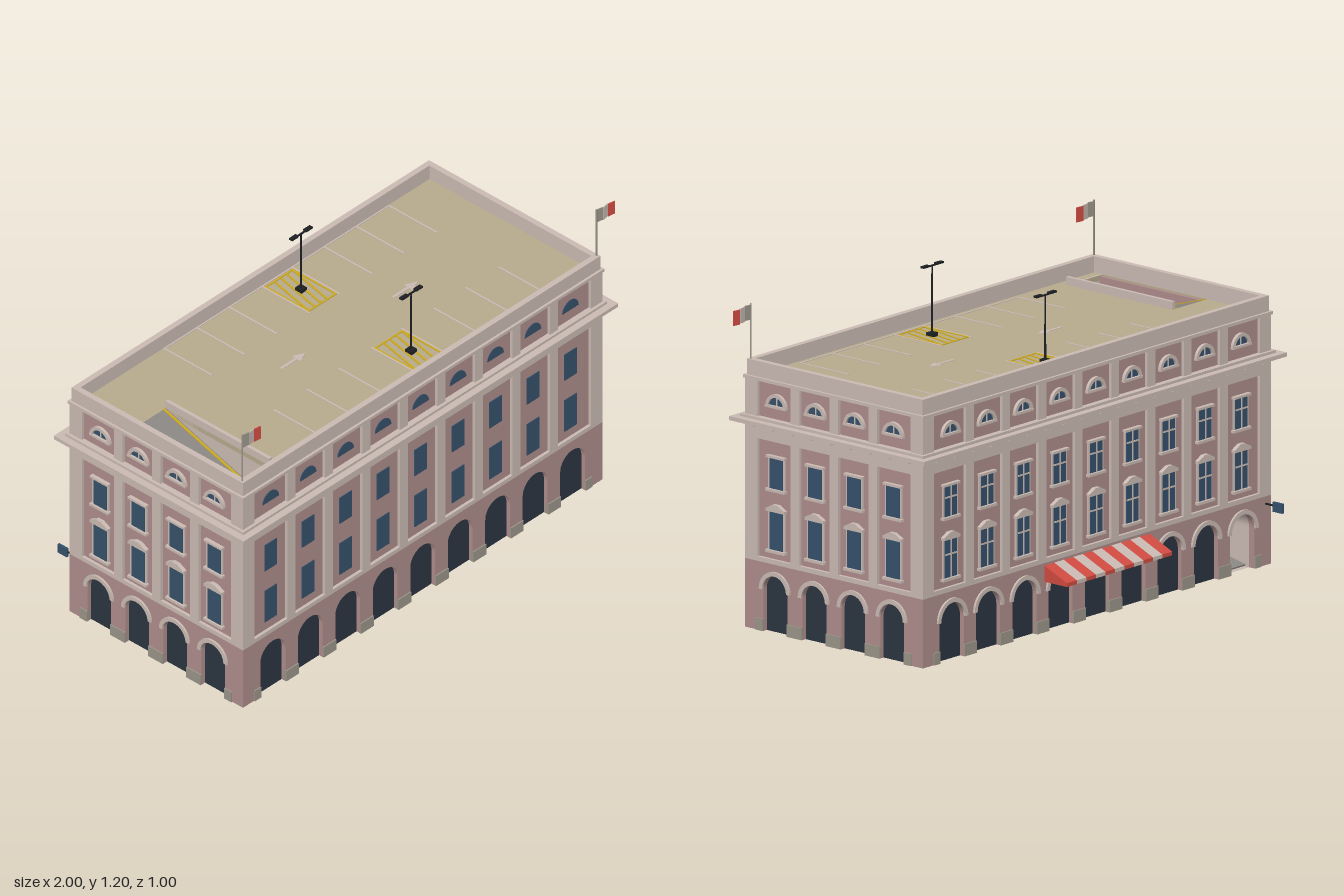
import * as THREE from 'three';

const mat = (name, color) => new THREE.MeshStandardMaterial({ name, color });
const pink = mat('pink stucco', 0xad8c8b), cream = mat('cream stone', 0xc9bab2);
const glass = mat('window blue', 0x34506a), dark = mat('arch shade', 0x2b3440);
const grey = mat('plinth grey', 0x9a9488), tan = mat('deck tan', 0xb6a98c);
const asphalt = mat('ramp grey', 0x8a8683), yellow = mat('marking yellow', 0xc9a820);
const red = mat('awning red', 0xcf4a40), black = mat('lamp black', 0x1c1f22);
dark.side = THREE.DoubleSide;

const HX = 0.94, HZ = 0.425, DECK = 0.935;   // half sizes of the building, roof level

function add(parent, name, geo, m, x = 0, y = 0, z = 0) {
  const mesh = new THREE.Mesh(geo, m);
  mesh.name = name;
  mesh.position.set(x, y, z);
  parent.add(mesh);
  return mesh;
}
// box given by its centre and size
const box = (p, name, m, x, y, z, w, h, d) => add(p, name, new THREE.BoxGeometry(w, h, d), m, x, y, z);
const extrude = (shape, depth) => new THREE.ExtrudeGeometry(shape, { depth, bevelEnabled: false, curveSegments: 10 });
const poly = pts => new THREE.Shape(pts.map(p => new THREE.Vector2(...p)));
const rect = (x0, x1, y0, y1) => poly([[x0, y0], [x1, y0], [x1, y1], [x0, y1]]);

// rectangular hoop round the building, from y0 up to y1
function ring(p, name, m, hx, hz, t, y0, y1) {
  const s = rect(-hx, hx, -hz, hz);
  s.holes.push(rect(-hx + t, hx - t, -hz + t, hz - t));
  add(p, name, extrude(s, y1 - y0).rotateX(Math.PI / 2), m, 0, y1, 0);
}
function archShape(r, spring) {
  const s = new THREE.Shape();
  s.moveTo(r, 0);
  s.lineTo(r, spring);
  s.absarc(0, spring, r, 0, Math.PI, false);
  s.lineTo(-r, 0);
  return s;
}
function halfRing(ro, ri) {
  const s = new THREE.Shape();
  s.absarc(0, 0, ro, 0, Math.PI, false);
  s.absarc(0, 0, ri, Math.PI, 0, true);
  return s;
}
function halfDisc(r) {
  const s = new THREE.Shape();
  s.absarc(0, 0, r, 0, Math.PI, false);
  return s;
}

// one facade: local x runs along the wall, local z points outward
function facade(root, { name, angle, dist, half, n, pitch, r, spring, fancy, mullions, entry, inset }) {
  const g = new THREE.Group();
  g.name = name;
  g.rotation.y = angle;
  root.add(g);
  const bays = Array.from({ length: n }, (_, i) => (i - (n - 1) / 2) * pitch);
  const wallZ = dist - 0.012;                 // face of the upper wall

  // arcaded ground floor
  const L = half - inset, s = new THREE.Shape();
  s.moveTo(-L, 0);
  for (const c of bays) {
    s.lineTo(c - r, 0);
    s.lineTo(c - r, spring);
    s.absarc(c, spring, r, Math.PI, 0, true);
    s.lineTo(c + r, 0);
  }
  s.lineTo(L, 0); s.lineTo(L, 0.255); s.lineTo(-L, 0.255);
  add(g, 'arcade wall', extrude(s, 0.03), pink, 0, 0, dist - 0.03);

  bays.forEach((c, i) => {
    if (i !== entry) add(g, 'arch infill', new THREE.ShapeGeometry(archShape(r, spring), 10), dark, c, 0, dist - 0.018);
    // windows, passing through the wall
    const out = fancy ? 0.009 : 0.003;
    for (const [y0, y1] of [[0.308, 0.447], [0.535, 0.65]]) {
      const h = y1 - y0, y = (y0 + y1) / 2, d = 0.032 + out;
      box(g, 'window glass', glass, c, y, wallZ + out - d / 2, 0.064, h, d);
      if (fancy) {
        box(g, 'window frame', cream, c, y, wallZ + 0.003, 0.08, h + 0.008, 0.007);
        box(g, 'window sill', cream, c, y0 - 0.006, wallZ + 0.008, 0.092, 0.01, 0.016);
      }
      if (mullions) {
        box(g, 'mullion', cream, c, y, wallZ + 0.009, 0.006, h, 0.004);
        box(g, 'transom', cream, c, y0 + h * 0.62, wallZ + 0.009, 0.064, 0.006, 0.004);
      }
    }
    // attic lunette
    if (fancy) {
      add(g, 'lunette surround', extrude(halfRing(0.049, 0.036), 0.012), cream, c, 0.838, wallZ);
      box(g, 'lunette sill', cream, c, 0.839, wallZ + 0.007, 0.1, 0.009, 0.014);
      add(g, 'lunette glass', extrude(halfDisc(0.037), 0.036), glass, c, 0.841, wallZ - 0.032);
      box(g, 'lunette mullion', cream, c, 0.858, wallZ + 0.004, 0.005, 0.036, 0.005);
      // window heads and arch mouldings
      const head = poly([[-0.044, 0], [0.044, 0], [0.044, 0.01], [0.012, 0.027], [-0.012, 0.027], [-0.044, 0.01]]);
      add(g, 'window pediment', extrude(head, 0.016), cream, c, 0.45, wallZ);
      box(g, 'window head', cream, c, 0.653, wallZ + 0.008, 0.088, 0.009, 0.016);
      add(g, 'archivolt', extrude(halfRing(r + 0.016, r), 0.01), cream, c, spring, dist - 0.002);
    } else {
      add(g, 'lunette glass', extrude(halfDisc(0.042), 0.035), glass, c, 0.835, wallZ - 0.032);
    }
  });

  // pilasters and plinths between the bays
  for (let i = 0; i <= n; i++) {
    const c = (i - n / 2) * pitch, end = i === 0 || i === n;
    if (!end) {
      box(g, 'pilaster', cream, c, 0.49, dist - 0.01, 0.042, 0.46, 0.02);
      box(g, 'attic pilaster', cream, c, 0.86, dist - 0.01, 0.042, 0.14, 0.02);
    }
    const a = i === 0 ? c : c - pitch / 2 + r, b = i === n ? c : c + pitch / 2 - r;
    box(g, 'plinth', grey, (a + b) / 2, 0.0225, dist - 0.003, b - a, 0.045, 0.016);
  }
  // small brackets under the cornice
  for (let i = 0; i <= 2 * n; i++)
    box(g, 'cornice bracket', cream, (i / 2 - n / 2) * pitch, 0.762, dist + 0.012, 0.013, 0.014, 0.024);
  return g;
}

function lamp(p, x, z, top) {
  const g = new THREE.Group();
  g.name = 'roofLamp';
  g.position.set(x, 0, z);
  p.add(g);
  box(g, 'lamp base', black, 0, DECK + 0.007, 0, 0.03, 0.014, 0.03);
  add(g, 'lamp pole', new THREE.CylinderGeometry(0.003, 0.004, top - DECK, 8), black, 0, (top + DECK) / 2, 0);
  box(g, 'lamp arm', black, 0, top - 0.003, 0, 0.06, 0.005, 0.006);
  for (const k of [-1, 1]) box(g, 'lamp head', black, k * 0.037, top, 0, 0.034, 0.007, 0.016);
}

function flag(p, x, z, w) {
  const g = new THREE.Group();
  g.name = 'flag';
  g.position.set(x, 0, z);
  p.add(g);
  add(g, 'flag pole', new THREE.CylinderGeometry(0.003, 0.003, 0.22, 8), grey, 0, 1.09, 0);
  [grey, cream, red].forEach((m, i) => {
    const strip = box(g, 'flag strip', m, (i + 0.5) * w / 3, 1.168 - i * 0.003, 0, w / 3, 0.055, 0.004);
    strip.rotation.y = i === 1 ? 0.15 : -0.15;
  });
}

function arrow(p, x, y, z, turn, tilt = 0) {
  const s = poly([[-0.065, -0.006], [0.015, -0.006], [0.015, -0.022], [0.065, 0], [0.015, 0.022], [0.015, 0.006], [-0.065, 0.006]]);
  const a = add(p, 'lane arrow', extrude(s, 0.002).rotateX(-Math.PI / 2).rotateY(turn), cream, x, y, z);
  a.rotation.x = tilt;
}

export function createModel() {
  const model = new THREE.Group();
  model.name = 'parkingPalazzo';
  const b = new THREE.Group();
  b.name = 'building';
  b.position.set(-0.02, 0, 0.035);
  model.add(b);

  // facades
  const long = { dist: HZ, half: HX, n: 9, pitch: 0.196, r: 0.065, spring: 0.15, inset: 0 };
  const short = { dist: HX, half: HZ, n: 4, pitch: 0.186, r: 0.057, spring: 0.156, inset: 0.03, fancy: true };
  facade(b, { ...long, name: 'frontFacade', angle: 0 });
  const back = facade(b, { ...long, name: 'backFacade', angle: Math.PI, fancy: true, mullions: true, entry: 8 });
  facade(b, { ...short, name: 'leftFacade', angle: Math.PI / 2 });
  facade(b, { ...short, name: 'rightFacade', angle: -Math.PI / 2 });

  // upper walls, bands, cornice and parapet
  ring(b, 'upper wall', pink, HX - 0.012, HZ - 0.012, 0.03, 0.25, 0.93);
  ring(b, 'floor band', cream, HX, HZ, 0.02, 0.255, 0.272);
  ring(b, 'frieze', cream, HX, HZ, 0.02, 0.71, 0.77);
  ring(b, 'cornice', cream, HX + 0.04, HZ + 0.04, 0.06, 0.767, 0.782);
  ring(b, 'cornice fillet', cream, HX + 0.012, HZ + 0.012, 0.03, 0.782, 0.792);
  ring(b, 'parapet ledge', cream, HX + 0.005, HZ + 0.005, 0.033, 0.925, 0.937);
  ring(b, 'parapet', cream, HX - 0.005, HZ - 0.005, 0.023, 0.93, 0.995);
  for (const sx of [-1, 1]) for (const sz of [-1, 1])
    box(b, 'corner pier', cream, sx * (HX - 0.03), 0.592, sz * (HZ - 0.03), 0.06, 0.675, 0.06);

  // arched passage with its ramp, behind the last arch of the back
  const u = 4 * long.pitch, tunnel = archShape(0.072, 0.15);
  tunnel.holes.push(archShape(0.0645, 0.1499));
  add(back, 'entry passage', extrude(tunnel, 0.3), cream, u, 0, HZ - 0.325);
  box(back, 'entry ramp', asphalt, u, 0.035, HZ - 0.19, 0.129, 0.006, 0.3).rotation.x = 0.2;

  // striped awning
  const n = 11, w = 0.564 / n;
  const prof = poly([[0, 0.246], [0.108, 0.2], [0.108, 0.186], [0.103, 0.186], [0.103, 0.196], [0, 0.239]]);
  const side = poly([[0, 0.246], [0.108, 0.2], [0.108, 0.186], [0, 0.186]]);
  for (let i = 0; i < n; i++)
    add(back, 'awning stripe', extrude(prof, w).rotateY(-Math.PI / 2), i % 2 ? cream : red, (i + 1 - n / 2) * w, 0, HZ);
  for (const k of [-1, 1])
    add(back, 'awning end', extrude(side, 0.004).rotateY(-Math.PI / 2), red, k * 0.282 + 0.002, 0, HZ);

  // projecting sign beside the entry
  box(back, 'sign bracket', black, 0.91, 0.228, HZ + 0.02, 0.005, 0.006, 0.04);
  box(back, 'sign board', glass, 0.91, 0.224, HZ + 0.06, 0.01, 0.036, 0.046);

  // roof deck with the opening for the ramp
  const roof = new THREE.Group();
  roof.name = 'roof';
  model.add(roof);
  const deck = rect(-0.935, 0.895, -0.365, 0.435);
  deck.holes.push(rect(-0.93, -0.755, -0.11, 0.39));
  add(roof, 'roof deck', extrude(deck, 0.02).rotateX(Math.PI / 2), tan, 0, DECK, 0);
  const tilt = 0.3, rampY = DECK - 0.25 * Math.tan(tilt);
  box(roof, 'ramp', asphalt, -0.842, rampY - 0.003, 0.14, 0.175, 0.006, 0.5 / Math.cos(tilt)).rotation.x = tilt;
  for (const x of [-0.918, -0.766])
    box(roof, 'ramp edge line', yellow, x, rampY + 0.001, 0.14, 0.01, 0.004, 0.5 / Math.cos(tilt)).rotation.x = tilt;
  arrow(roof, -0.842, rampY + 0.001, 0.1, Math.PI / 2, tilt);
  box(roof, 'ramp guard wall', cream, -0.748, 0.88, 0.142, 0.014, 0.17, 0.508);
  box(roof, 'ramp end wall', cream, -0.842, 0.855, 0.394, 0.19, 0.16, 0.008);

  // parking bays, hatched zones and lamps on both sides of the lane
  const line = (m, x, z, lx, lz, turn = 0) => {
    box(roof, 'deck marking', m, x, DECK + 0.001, z, lx, 0.003, lz).rotation.y = turn;
  };
  for (const [z0, z1, edge, lampZ, top] of [[-0.357, -0.122, -0.357, -0.24, 1.19], [0.18, 0.41, 0.41, 0.3, 1.2]]) {
    const zc = (z0 + z1) / 2, d = z1 - z0;
    for (const x of [-0.5, -0.33, -0.16, 0.011, 0.168, 0.336, 0.504, 0.675]) line(cream, x, zc, 0.007, d);
    line(cream, 0.0875, edge, 1.18, 0.006);
    for (const x of [0.018, 0.16]) line(yellow, x, zc, 0.007, d - 0.02);
    for (const z of [z0 + 0.012, z1 - 0.012]) line(yellow, 0.089, z, 0.145, 0.007);
    for (let i = 0; i < 4; i++) line(yellow, 0.041 + i * 0.032, zc, 0.008, d - 0.03, -0.2);
    lamp(roof, 0.09, lampZ, top);
  }
  for (const x of [-0.238, 0.348]) arrow(roof, x, DECK + 0.001, 0.03, 0);

  // corner flags
  flag(model, -0.945, 0.443, 0.092);
  flag(model, 0.907, 0.443, 0.092);
  return model;
}
